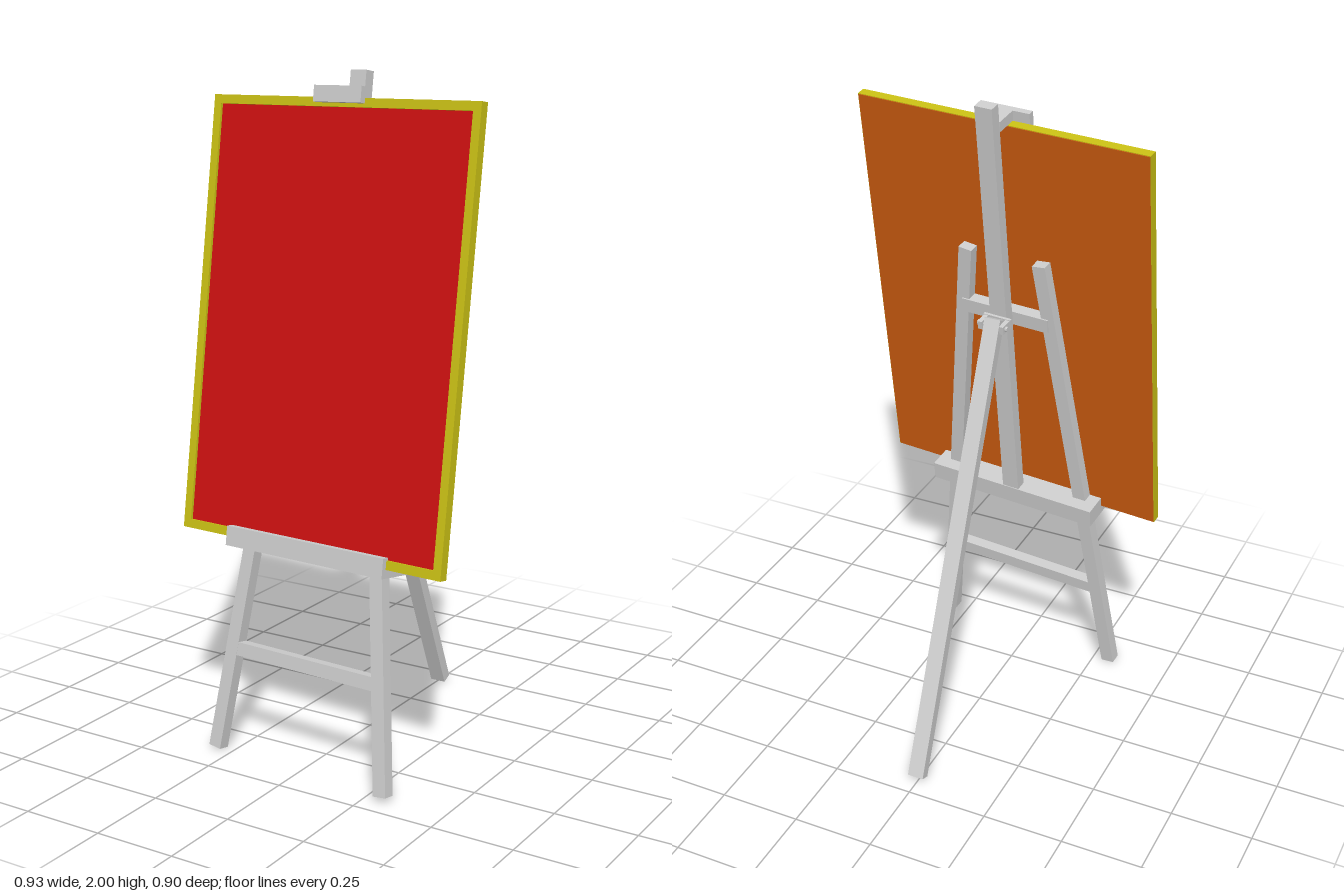
import * as THREE from 'three';

const mat = (color) => new THREE.MeshStandardMaterial({ color, flatShading: true });
const grey = mat(0xcccccc);
const yellow = mat(0xc8be14);
const red = mat(0xcc1010);
const brown = mat(0xcc5c10);

// Box given by its minimum and maximum corners
function box(parent, name, [x0, y0, z0], [x1, y1, z1], material = grey) {
  const mesh = new THREE.Mesh(new THREE.BoxGeometry(x1 - x0, y1 - y0, z1 - z0), material);
  mesh.position.set((x0 + x1) / 2, (y0 + y1) / 2, (z0 + z1) / 2);
  mesh.name = name;
  parent.add(mesh);
  return mesh;
}

// Straight square-cut bar between two points
function bar(parent, name, a, b, width, depth) {
  const from = new THREE.Vector3(...a), to = new THREE.Vector3(...b);
  const dir = to.clone().sub(from);
  const mesh = new THREE.Mesh(new THREE.BoxGeometry(width, dir.length(), depth), grey);
  mesh.position.copy(from).add(to).multiplyScalar(0.5);
  mesh.quaternion.setFromUnitVectors(new THREE.Vector3(0, 1, 0), dir.normalize());
  mesh.name = name;
  parent.add(mesh);
  return mesh;
}

// Framed board: recessed front panel, rim and flat backing
function makeBoard() {
  const board = new THREE.Group();
  board.name = 'board';
  const w = 0.465, y0 = 0.66, y1 = 1.945, rim = 0.026, back = 0.018, front = 0.047;
  const rectangle = (Type, inset) => {
    const s = new Type();
    s.moveTo(-w + inset, y0 + inset);
    s.lineTo(w - inset, y0 + inset);
    s.lineTo(w - inset, y1 - inset);
    s.lineTo(-w + inset, y1 - inset);
    s.closePath();
    return s;
  };
  const outline = rectangle(THREE.Shape, 0);
  outline.holes.push(rectangle(THREE.Path, rim));
  const frame = new THREE.Mesh(
    new THREE.ExtrudeGeometry(outline, { depth: front - back, bevelEnabled: false }), yellow);
  frame.position.z = back;
  frame.name = 'boardFrame';
  board.add(frame);
  box(board, 'boardPanel', [-w + rim, y0 + rim, back + 0.002], [w - rim, y1 - rim, front - 0.008], red);
  box(board, 'boardBacking', [-w + 0.002, y0 + 0.002, back - 0.002], [w - 0.002, y1 - 0.002, back + 0.001], brown);
  return board;
}

export function createModel() {
  const model = new THREE.Group();
  model.name = 'easel';

  // Leaning front assembly, turned slightly to one side
  const front = new THREE.Group();
  front.name = 'frontAssembly';
  front.position.z = 0.405;
  front.rotation.set(THREE.MathUtils.degToRad(-9), THREE.MathUtils.degToRad(-5), 0);
  model.add(front);

  front.add(makeBoard());

  // Splayed front legs
  for (const [side, name] of [[1, 'leftLeg'], [-1, 'rightLeg']]) {
    bar(front, name, [side * 0.305, 0.013, 0], [side * 0.122, 1.527, 0], 0.043, 0.036);
  }

  // Cross bars between the legs
  box(front, 'lowerCrossbar', [-0.262, 0.305, -0.0175], [0.262, 0.345, 0.0175]);
  box(front, 'upperCrossbar', [-0.145, 1.305, -0.0225], [0.145, 1.35, 0.0165]);

  // Central mast
  box(front, 'mast', [-0.0275, 0.645, -0.0575], [0.0275, 2.03, -0.0225]);

  // Tray that holds the lower edge of the board
  box(front, 'tray', [-0.283, 0.635, -0.06], [0.283, 0.693, 0.063]);

  // Clip over the upper edge of the board
  box(front, 'clipArm', [-0.03, 1.946, -0.024], [0.03, 1.976, 0.05]);
  box(front, 'clipLip', [-0.083, 1.93, 0.048], [0.083, 1.976, 0.068]);

  // Hinge behind the mast
  const hinge = new THREE.Group();
  hinge.name = 'hinge';
  front.add(hinge);
  box(hinge, 'hingePlate', [-0.045, 1.32, -0.066], [0.045, 1.35, -0.057]);
  for (const side of [-1, 1]) {
    const x = side * 0.036;
    box(hinge, 'hingeEar', [x - 0.007, 1.322, -0.105], [x + 0.007, 1.348, -0.06]);
  }
  const pin = new THREE.Mesh(new THREE.CylinderGeometry(0.008, 0.008, 0.1, 8), grey);
  pin.rotation.z = Math.PI / 2;
  pin.position.set(0, 1.335, -0.09);
  pin.name = 'hingePin';
  hinge.add(pin);

  // Rear prop leg
  bar(model, 'rearLeg', [0.005, 0.015, -0.434], [0.005, 1.325, 0.113], 0.05, 0.034);

  return model;
}
